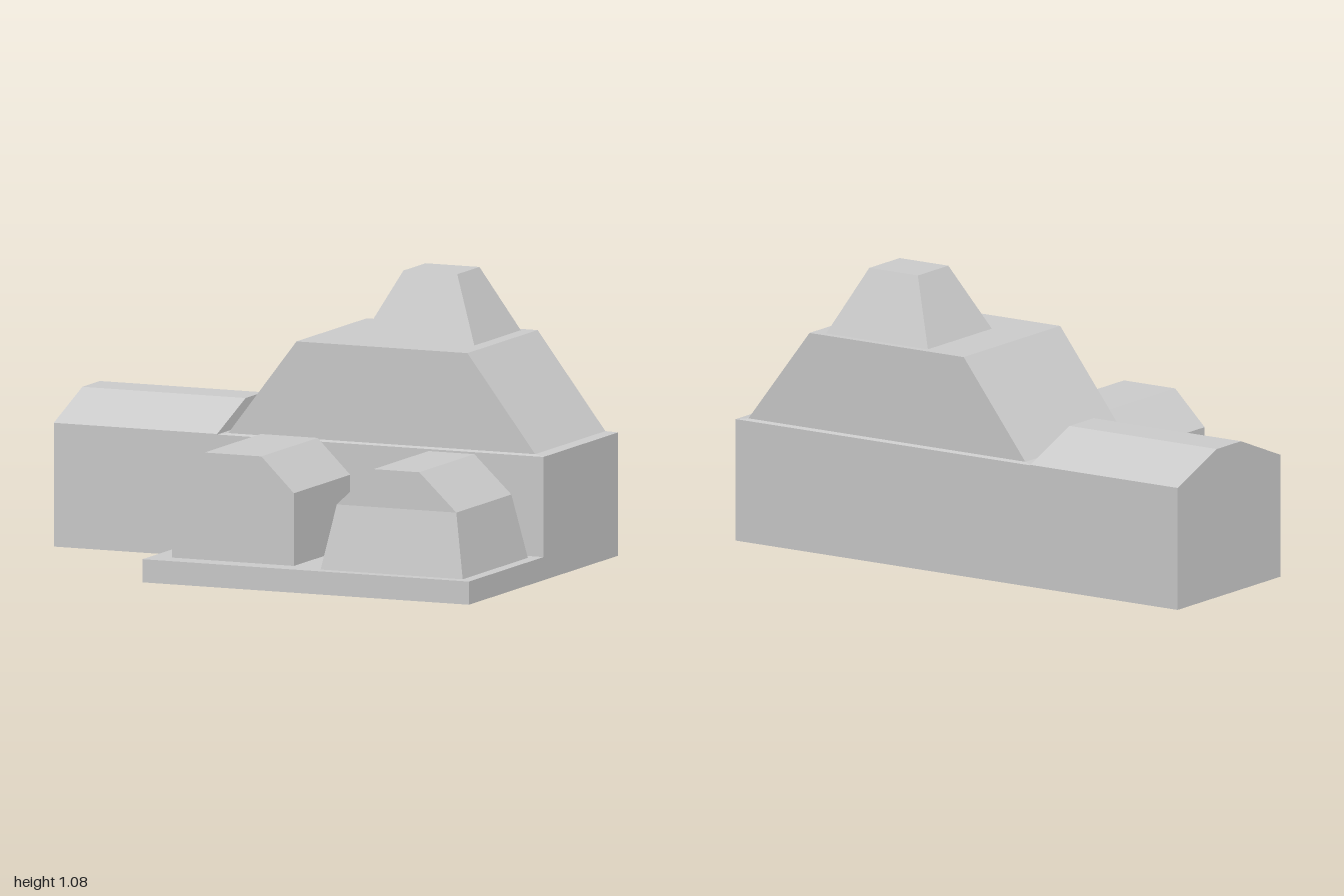
import * as THREE from 'three';

const material = new THREE.MeshStandardMaterial({ color: 0xcccccc, flatShading: true });

// Box whose bottom and top rectangles [x0, x1, z0, z1] differ
function frustum(name, y0, y1, bottom, top = bottom) {
  const geo = new THREE.BoxGeometry(1, 1, 1);
  const p = geo.attributes.position;
  for (let i = 0; i < p.count; i++) {
    const up = p.getY(i) > 0;
    const r = up ? top : bottom;
    p.setXYZ(i, p.getX(i) < 0 ? r[0] : r[1], up ? y1 : y0, p.getZ(i) < 0 ? r[2] : r[3]);
  }
  geo.computeVertexNormals();
  const mesh = new THREE.Mesh(geo, material);
  mesh.name = name;
  return mesh;
}

// Straight prism from an outline in the xy plane, running from z0 to z1
function prism(name, outline, z0, z1) {
  const shape = new THREE.Shape(outline.map(([x, y]) => new THREE.Vector2(x, y)));
  const geo = new THREE.ExtrudeGeometry(shape, { depth: z1 - z0, bevelEnabled: false });
  geo.translate(0, 0, z0);
  const mesh = new THREE.Mesh(geo, material);
  mesh.name = name;
  return mesh;
}

export function createModel() {
  const model = new THREE.Group();
  model.name = 'building';

  // Low terrace in front
  model.add(frustum('terrace', 0, 0.087, [-0.333, 1, 0, 0.667]));

  // Main hall with a thin sloping ledge and a hipped upper storey
  model.add(frustum('mainBlock', 0, 0.463, [-0.333, 1, -0.667, 0]));
  model.add(frustum('ledge', 0.463, 0.468, [-0.333, 1, -0.667, 0], [-0.3, 0.96, -0.647, -0.02]));
  model.add(prism('upperStorey',
    [[-0.298, 0.466], [0.958, 0.466], [0.68, 0.83], [-0.018, 0.83]], -0.647, -0.02));
  model.add(frustum('roofTower', 0.83, 1.075,
    [0.165, 0.625, -0.617, -0.202], [0.285, 0.505, -0.51, -0.312]));

  // Side wing, its profile drawn across z and run along x
  const wing = prism('sideWing',
    [[0, 0], [0.667, 0], [0.667, 0.465], [0.412, 0.565], [0.255, 0.565], [0, 0.465]], -1, -0.333);
  wing.rotation.y = Math.PI / 2;
  model.add(wing);

  // Straight-walled hut
  model.add(prism('straightHut',
    [[-0.25, 0.087], [0.248, 0.087], [0.248, 0.36], [0.115, 0.49], [-0.117, 0.49], [-0.25, 0.36]],
    0.082, 0.585));

  // Hut with leaning walls
  const hut = new THREE.Group();
  hut.name = 'taperedHut';
  hut.add(frustum('hutWalls', 0.087, 0.328,
    [0.375, 0.955, 0.042, 0.624], [0.42, 0.908, 0.086, 0.578]));
  hut.add(prism('hutRoof',
    [[0.42, 0.328], [0.908, 0.328], [0.757, 0.47], [0.57, 0.47]], 0.086, 0.578));
  model.add(hut);

  return model;
}
